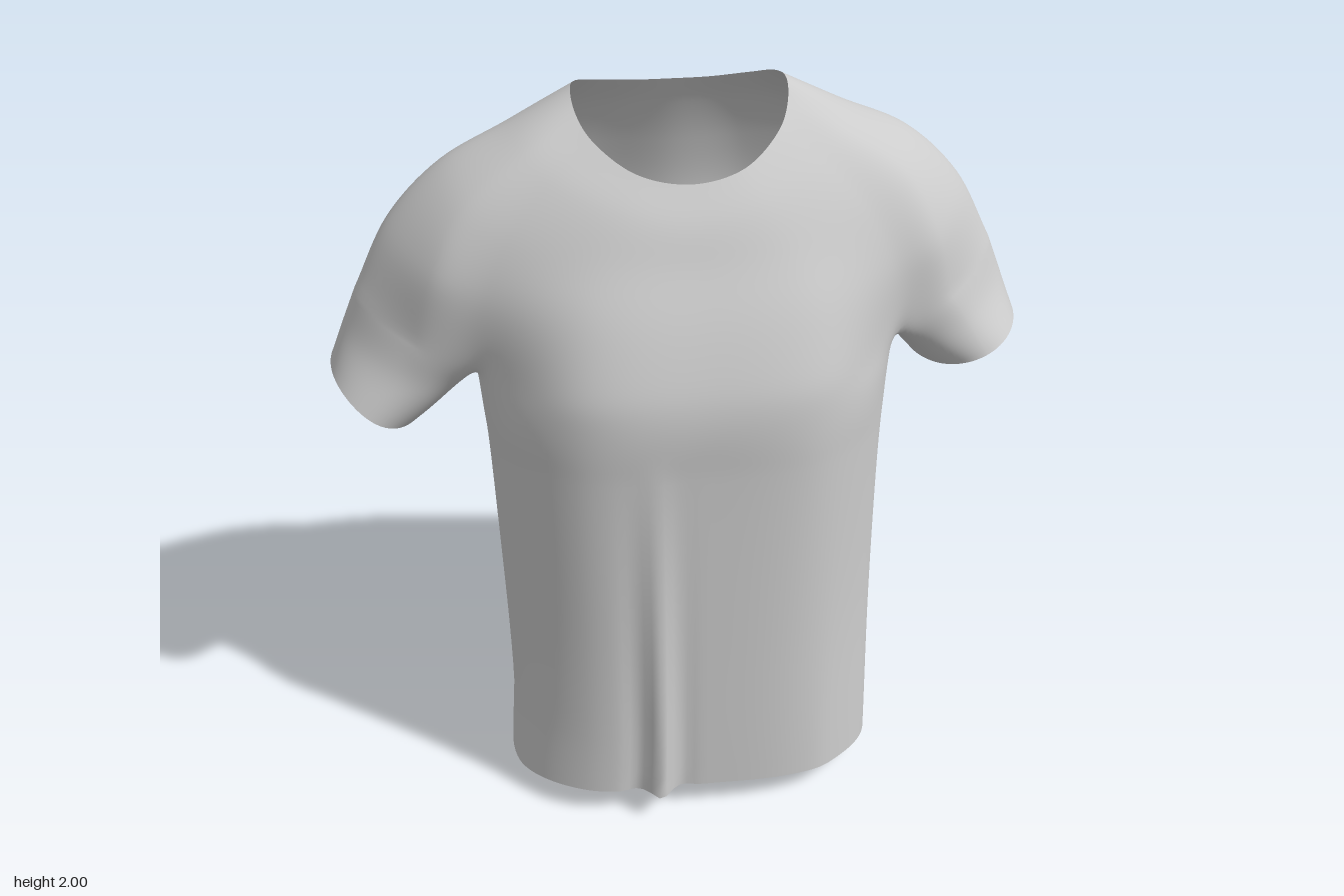
import * as THREE from 'three';

const S = 16; // samples between key points around a ring
const L = 8;  // rows between key rings
const { smoothstep, lerp, degToRad } = THREE.MathUtils;
const V = (p) => new THREE.Vector3(...p);
const mirror = (v) => new THREE.Vector3(-v.x, v.y, v.z);

// Smooth curve through points, with n samples per span
function spline(pts, n, closed = false) {
  const curve = new THREE.CatmullRomCurve3(pts, closed);
  const count = (closed ? pts.length : pts.length - 1) * n;
  const out = [];
  for (let i = 0; i < (closed ? count : count + 1); i++) out.push(curve.getPoint(i / count));
  return out;
}

// Full ring from half a ring running from centre front, round the left, to centre back
function fullRing(half) {
  const h = half.map(V);
  return spline([...h, ...h.slice(1, -1).reverse().map(mirror)], S, true);
}

// Yoke half rings, neckline down to the armpits:
// front centre, front, armpit front, sleeve front, shoulder, sleeve back, armpit back, back, back centre
const yokeKeys = [
  [[0, 1.825, .14], [.13, 1.848, .117], [.228, 1.912, .04], [.262, 1.962, -.03], [.268, 2, -.09],
    [.252, 1.997, -.16], [.2, 1.977, -.213], [.1, 1.962, -.237], [0, 1.96, -.24]],
  [[0, 1.74, .195], [.18, 1.77, .17], [.34, 1.835, .088], [.4, 1.895, .01], [.425, 1.925, -.11],
    [.4, 1.905, -.22], [.32, 1.88, -.28], [.16, 1.88, -.295], [0, 1.88, -.285]],
  [[0, 1.64, .24], [.23, 1.655, .222], [.45, 1.71, .13], [.56, 1.785, .05], [.6, 1.845, -.13],
    [.57, 1.8, -.27], [.43, 1.77, -.325], [.2, 1.76, -.355], [0, 1.76, -.335]],
  [[0, 1.5, .308], [.28, 1.51, .287], [.515, 1.56, .15], [.64, 1.64, .086], [.745, 1.71, -.14],
    [.66, 1.65, -.345], [.5, 1.6, -.355], [.23, 1.59, -.405], [0, 1.59, -.38]],
  [[0, 1.36, .36], [.31, 1.36, .333], [.535, 1.38, .135], [.69, 1.46, .078], [.845, 1.53, -.13],
    [.7, 1.47, -.35], [.54, 1.4, -.335], [.25, 1.4, -.405], [0, 1.4, -.385]],
];
const underarm = [.555, 1.35, -.12];

// Body half rings below the armpits: front centre, front, side front, side, side back, back, back centre
const bodyKeys = [
  [[0, 1.27, .372], [.31, 1.27, .34], [.515, 1.27, .145], [.535, 1.25, -.09], [.505, 1.27, -.27], [.255, 1.27, -.39], [0, 1.27, -.383]],
  [[0, 1.12, .366], [.31, 1.12, .335], [.5, 1.12, .16], [.528, 1.12, -.05], [.485, 1.12, -.23], [.255, 1.12, -.365], [0, 1.12, -.38]],
  [[0, .6, .363], [.31, .6, .333], [.5, .6, .165], [.527, .6, -.02], [.475, .6, -.2], [.265, .6, -.335], [0, .6, -.362]],
  [[0, .09, .365], [.325, .086, .343], [.508, .068, .195], [.53, .052, 0], [.465, .026, -.17], [.265, .006, -.298], [0, 0, -.335]],
];

// Sleeve ring above the cuff: armpit front, front, outside, back, armpit back, underside
const sleeveKeys = [[.61, 1.31, .06], [.75, 1.37, .068], [.89, 1.425, -.14], [.755, 1.375, -.352], [.615, 1.315, -.32], [.59, 1.29, -.14]];

// Oval cuff, stepped to line up with the sleeve ring
function cuffRing() {
  const angles = [-45, 8, 90, 172, 225, 270, 315];
  return angles.slice(1).flatMap((end, k) => Array.from({ length: S }, (_, s) => {
    const a = degToRad(lerp(angles[k], end, s / S));
    return V([.79 + .14 * Math.sin(a), 1.265 + .06 * Math.sin(a), -.148 + .232 * Math.cos(a)]);
  }));
}

// Hanging folds down the front and a lower, slimmer right side
function drape(v) {
  const p = v.clone();
  const bump = (c, w) => Math.exp(-(((v.x - c) / w) ** 2));
  if (v.z > .1 && v.y < 1.2) {
    const low = 1 - v.y / 1.2;
    p.z += low * (.045 * bump(-.12, .03) - .012 * bump(-.19, .03) - .01 * bump(-.05, .03) + .006 * bump(.36, .05));
  }
  if (v.x < 0) {
    const high = smoothstep(v.y, .9, 1.3);
    const under = smoothstep(1.33 - v.y, 0, .12) * smoothstep(-v.x, .56, .64);
    p.x *= 1 - .045 * (1 - smoothstep(v.y, .2, 1.25)) * (.4 + .6 * smoothstep(v.y, .03, .3));
    p.x -= .045 * under;
    p.y -= .055 * smoothstep(-v.x, .1, .9) * high + .04 * under;
  }
  p.y = Math.max(p.y, 0);
  return p;
}

// Relax the cloth around the armpits and chest, where body and sleeves divide
function relax(positions, index) {
  const near = Array.from({ length: positions.length / 3 }, () => new Set());
  for (let i = 0; i < index.length; i += 3) {
    for (let k = 0; k < 3; k++) {
      const a = index[i + k], b = index[i + (k + 1) % 3];
      near[a].add(b);
      near[b].add(a);
    }
  }
  for (let pass = 0; pass < 14; pass++) {
    const old = positions.slice();
    near.forEach((set, i) => {
      const x = Math.abs(old[3 * i]), y = old[3 * i + 1];
      const weight = .6 * smoothstep(y, 1.15, 1.28) * (1 - smoothstep(y, 1.45, 1.6)) * (1 - smoothstep(x, .6, .7));
      if (weight === 0) return;
      for (let k = 0; k < 3; k++) {
        let sum = 0;
        for (const j of set) sum += old[3 * j + k];
        positions[3 * i + k] += weight * (sum / set.size - old[3 * i + k]);
      }
    });
  }
}

export function createModel() {
  const positions = [];
  const lookup = new Map();
  // Shared vertices keep the shading smooth where the parts meet
  const vertex = (v) => {
    const p = drape(v);
    const key = [p.x, p.y, p.z].map((n) => Math.round(n * 1e5)).join();
    if (!lookup.has(key)) {
      lookup.set(key, positions.length / 3);
      positions.push(p.x, p.y, p.z);
    }
    return lookup.get(key);
  };

  // Skin over a stack of rings, returned as triangle indices
  function loft(rings, flip = false) {
    const n = rings[0].length;
    const columns = rings[0].map((_, i) => spline(rings.map((r) => r[i]), L).map(vertex));
    const index = [];
    for (let i = 0; i < n; i++) {
      const a = columns[i], b = columns[(i + 1) % n];
      for (let j = 0; j < a.length - 1; j++) {
        if (flip) index.push(a[j], b[j], a[j + 1], b[j], b[j + 1], a[j + 1]);
        else index.push(a[j], a[j + 1], b[j], b[j], a[j + 1], b[j + 1]);
      }
    }
    return index;
  }

  // The last yoke ring divides into the body and two armholes
  const yoke = yokeKeys.map(fullRing);
  const split = yoke[yoke.length - 1];
  const arm = spline([split[2 * S], V(underarm), split[6 * S]], S).slice(1, -1);
  const armBack = [...arm].reverse();
  const bodyTop = [...split.slice(0, 2 * S + 1), ...arm, ...split.slice(6 * S, 10 * S + 1),
    ...armBack.map(mirror), ...split.slice(14 * S)];
  const sleeve = [[...split.slice(2 * S, 6 * S + 1), ...armBack], spline(sleeveKeys.map(V), S, true), cuffRing()];

  const parts = {
    yoke: loft(yoke),
    body: loft([bodyTop, ...bodyKeys.map(fullRing)]),
    leftSleeve: loft(sleeve),
    rightSleeve: loft(sleeve.map((r) => r.map(mirror)), true),
  };
  const faces = Object.values(parts).flat();
  relax(positions, faces);

  // Normals are worked out over the whole garment, then each part takes its faces
  const whole = new THREE.BufferGeometry();
  whole.setAttribute('position', new THREE.Float32BufferAttribute(positions, 3));
  whole.setIndex(faces);
  whole.computeVertexNormals();

  const cloth = new THREE.MeshStandardMaterial({ color: 0xcccccc, side: THREE.DoubleSide });
  const shirt = new THREE.Group();
  shirt.name = 'shirt';
  for (const [name, index] of Object.entries(parts)) {
    const mesh = new THREE.Mesh(whole.clone().setIndex(index).toNonIndexed(), cloth);
    mesh.name = name;
    shirt.add(mesh);
  }
  return shirt;
}
